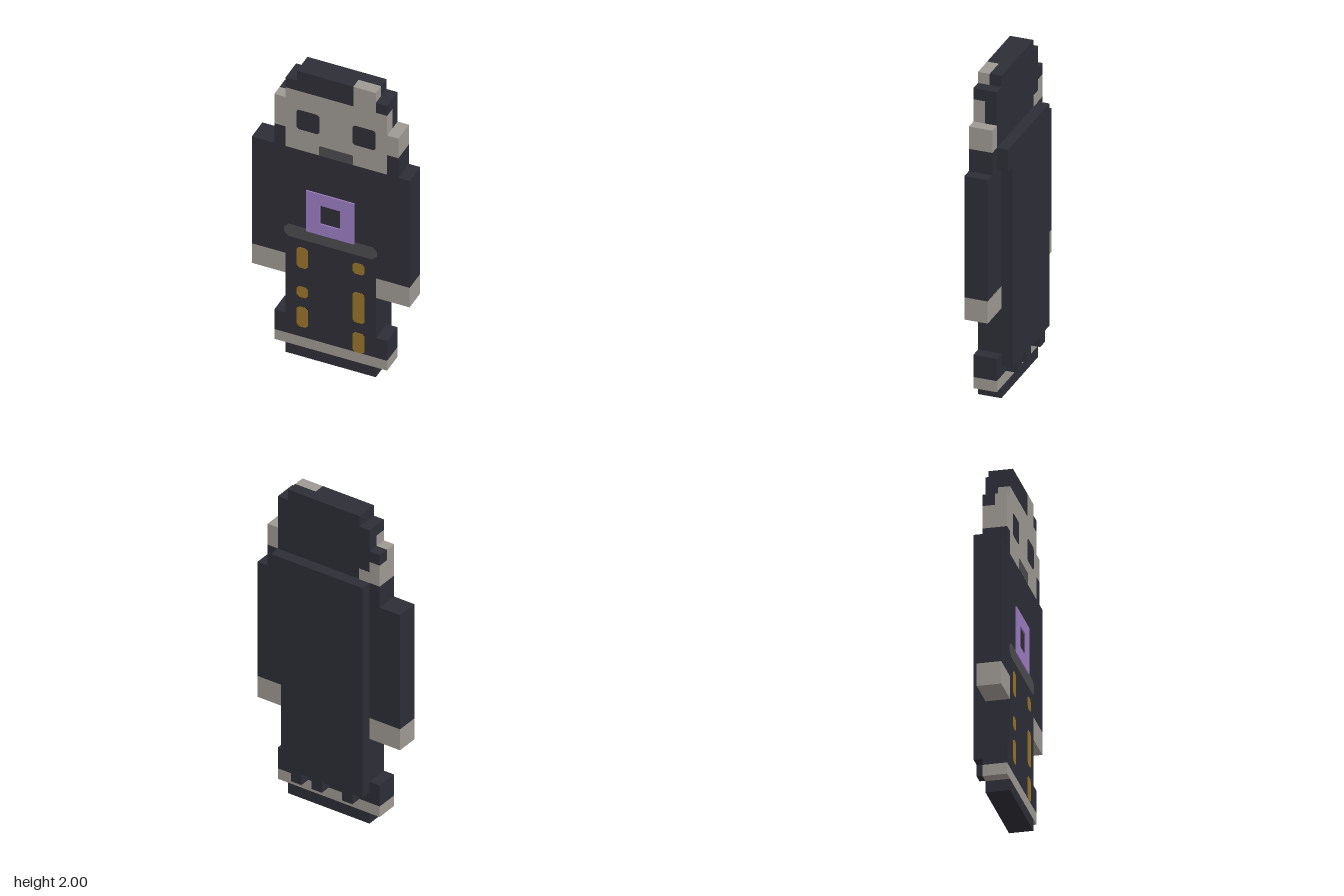
import * as THREE from 'three';

const mat = (name, color) => Object.assign(new THREE.MeshStandardMaterial({ color }), { name });

export function createModel() {
  const root = new THREE.Group();
  root.name = 'blockFigure';
  const dark = mat('charcoal', 0x2d2d36);
  const pale = mat('paleGrey', 0x9d9892);
  const purple = mat('purple', 0x9b7cc0);
  const gold = mat('gold', 0x967429);
  const grey = mat('beltGrey', 0x4b4b4d);

  const U = 2 / 29;                       // one block
  const BACK = -0.04, MID = 0.03, FRONT = 0.1, CAPE = -0.108;

  const add = (name, geometry, material) => {
    const mesh = new THREE.Mesh(geometry, material);
    mesh.name = name;
    root.add(mesh);
    return mesh;
  };
  // Box between block coordinates in x and y, and world depths in z
  const block = (name, m, x0, x1, y0, y1, z0 = BACK, z1 = FRONT) => {
    const g = new THREE.BoxGeometry((x1 - x0) * U, (y1 - y0) * U, z1 - z0);
    g.translate((x0 + x1) * U / 2, (y0 + y1) * U / 2, (z0 + z1) / 2);
    return add(name, g, m);
  };
  // Thin plate with cut corners on the front
  const plate = (name, m, x0, x1, y0, y1, c) => {
    const s = new THREE.Shape([
      [x0 + c, y0], [x1 - c, y0], [x1, y0 + c], [x1, y1 - c],
      [x1 - c, y1], [x0 + c, y1], [x0, y1 - c], [x0, y0 + c],
    ].map(([x, y]) => new THREE.Vector2(x, y)));
    const g = new THREE.ExtrudeGeometry(s, { depth: 0.003, bevelEnabled: false });
    g.translate(0, 0, FRONT - 0.001);
    return add(name, g, m);
  };

  // Feet and robe
  block('soleBase', dark, -4, 4, 0, 1);
  block('hemTrim', pale, -5, 5, 1, 2);
  block('feet', dark, -5, 5, 2, 4);
  block('robe', dark, -4, 4, 4, 21);

  // Arms and hands
  for (const [side, s] of [['left', 1], ['right', -1]]) {
    const [a, b] = s > 0 ? [4, 7] : [-7, -4];
    block(side + 'Sleeve', dark, a, b, 10.1, 21);
    block(side + 'Hand', pale, a, b, 8.1, 10.1);
  }

  // Head: pale face layer in front, dark hair layer behind
  block('face', pale, -4, 5, 21, 27, MID, FRONT);
  block('backHair', dark, -4, 5, 21, 27, BACK, MID);
  block('hairStep', dark, -4, 2, 27, 28);
  block('hairTop', dark, -3, 2, 28, 29);
  block('hairRear', dark, 2, 4, 27, 29, BACK, MID);
  block('hairSide', dark, 4, 5, 27, 28);
  block('crownPatch', pale, 2, 4, 27, 29, MID, FRONT);
  block('napePatch', pale, -4.002, -3, 23, 24, BACK - 0.002, MID);

  // Ears and collar
  block('leftEar', pale, 5, 6, 23, 25);
  block('rightEar', pale, -5, -4, 23, 25);
  block('rightEarTop', pale, -5, -4, 25, 26, MID, FRONT);
  block('rightEarHair', dark, -5, -4, 25, 26, BACK, MID);
  block('leftCollar', dark, 5, 6, 21, 23);
  block('rightCollar', dark, -5, -4, 21, 23);

  // Cape with a ragged hem
  block('cape', dark, -4, 4, 3, 21, CAPE, BACK);
  block('capeCollar', dark, -4, 5, 21, 23, CAPE, BACK);
  for (const x of [3, 1, -2]) block('capeTooth', dark, x - 1, x, 2, 3, CAPE, BACK);

  // Face details
  plate('rightEye', dark, -0.208, -0.07, 1.595, 1.73, 0.012);
  plate('leftEye', dark, 0.135, 0.274, 1.595, 1.73, 0.012);
  plate('mouth', grey, -0.07, 0.136, 1.449, 1.515, 0.006);

  // Belt
  plate('belt', grey, -0.286, 0.282, 0.823, 0.908, 0.027);

  // Square chest emblem with an open centre
  const frame = new THREE.Shape([[-0.148, 0.896], [0.145, 0.896], [0.145, 1.182], [-0.148, 1.182]]
    .map(([x, y]) => new THREE.Vector2(x, y)));
  frame.holes.push(new THREE.Path([[-0.064, 0.974], [-0.064, 1.103], [0.06, 1.103], [0.06, 0.974]]
    .map(([x, y]) => new THREE.Vector2(x, y))));
  const frameGeo = new THREE.ExtrudeGeometry(frame, { depth: 0.009, bevelEnabled: false });
  frameGeo.translate(0, 0, FRONT - 0.001);
  add('chestFrame', frameGeo, purple);

  // Gold robe trim
  for (const [y0, y1] of [[0.622, 0.766], [0.416, 0.491], [0.208, 0.348]])
    plate('rightTrim', gold, -0.208, -0.139, y0, y1, 0.016);
  for (const [y0, y1] of [[0.69, 0.766], [0.348, 0.56], [0.139, 0.277]])
    plate('leftTrim', gold, 0.135, 0.206, y0, y1, 0.014);

  return root;
}
